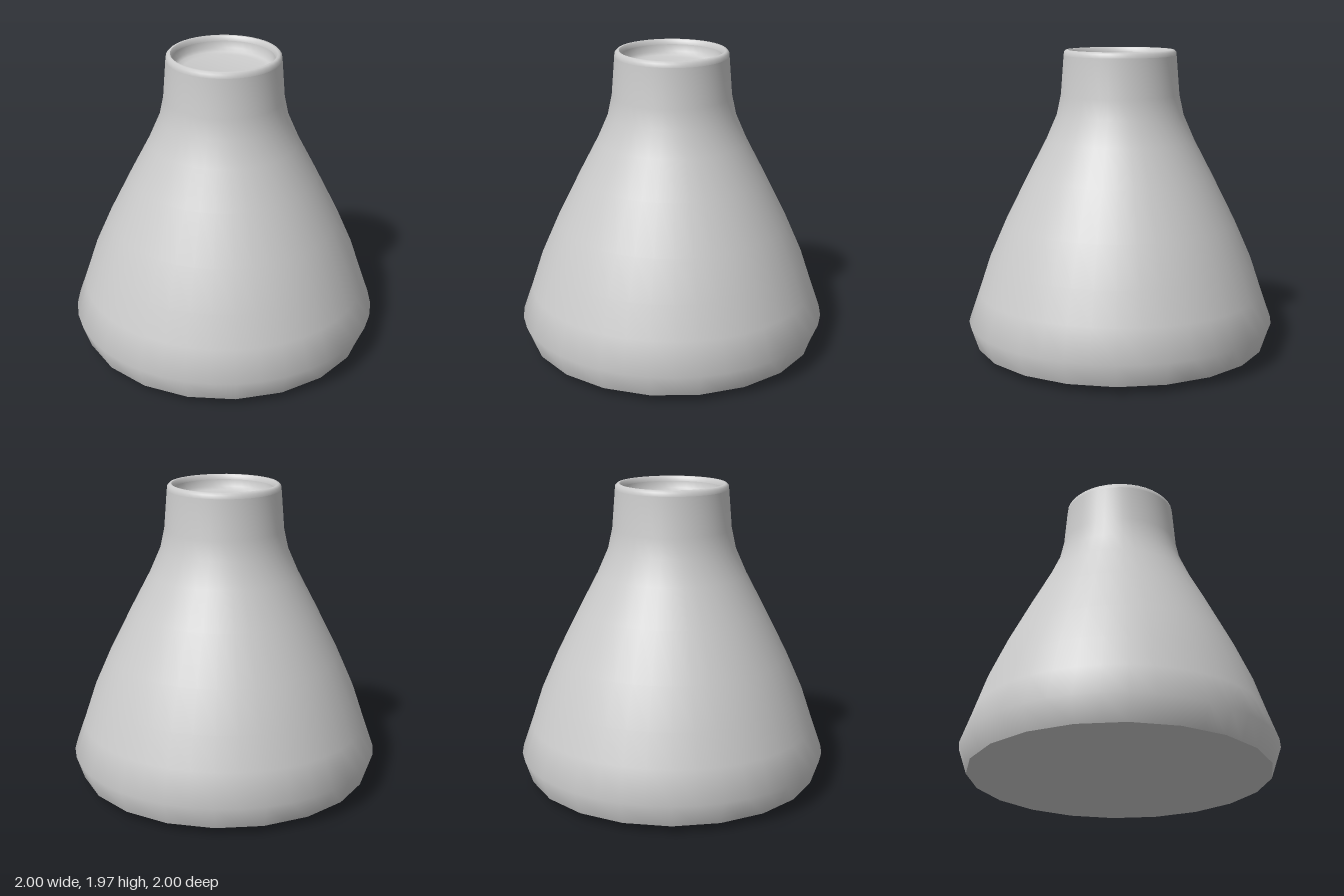
import * as THREE from 'three';
import { toCreasedNormals } from 'three/addons/utils/BufferGeometryUtils.js';

const SIDES = 40;

// Turned surface from [radius, height] pairs; rings at or below facetTop become 20-sided
function turned(name, profile, facetTop = -1) {
  const points = profile.map(([r, y]) => new THREE.Vector2(r, y));
  const geometry = new THREE.LatheGeometry(points, SIDES);
  const pos = geometry.attributes.position;
  const chord = Math.cos((2 * Math.PI) / SIDES);
  for (let i = 0; i < pos.count; i++) {
    const column = Math.floor(i / profile.length);
    if (column % 2 === 1 && pos.getY(i) <= facetTop) {
      pos.setX(i, pos.getX(i) * chord);
      pos.setZ(i, pos.getZ(i) * chord);
    }
  }
  const mesh = new THREE.Mesh(
    toCreasedNormals(geometry, 0.8),
    new THREE.MeshStandardMaterial({ color: 0xcccccc, side: THREE.DoubleSide })
  );
  mesh.name = name;
  return mesh;
}

export function createModel() {
  const flask = new THREE.Group();
  flask.name = 'flask';

  // Shallow bevelled underside
  flask.add(turned('base', [[0, 0], [0.71, 0], [0.95, 0.05]], 0.06));

  // Flared body running up into the neck
  flask.add(turned('body', [
    [0.95, 0.05], [1, 0.2], [0.93, 0.4], [0.86, 0.61], [0.75, 0.86],
    [0.6, 1.16], [0.48, 1.39], [0.41, 1.55], [0.382, 1.68], [0.362, 1.93],
  ], 0.06));

  // Rounded lip around the opening
  flask.add(turned('lip', [
    [0.362, 1.93], [0.359, 1.953], [0.346, 1.966], [0.333, 1.966], [0.323, 1.955], [0.318, 1.935],
  ]));

  // Shallow recess inside the neck
  flask.add(turned('recess', [
    [0.318, 1.935], [0.312, 1.89], [0.295, 1.87], [0.26, 1.862], [0, 1.86],
  ]));

  return flask;
}
